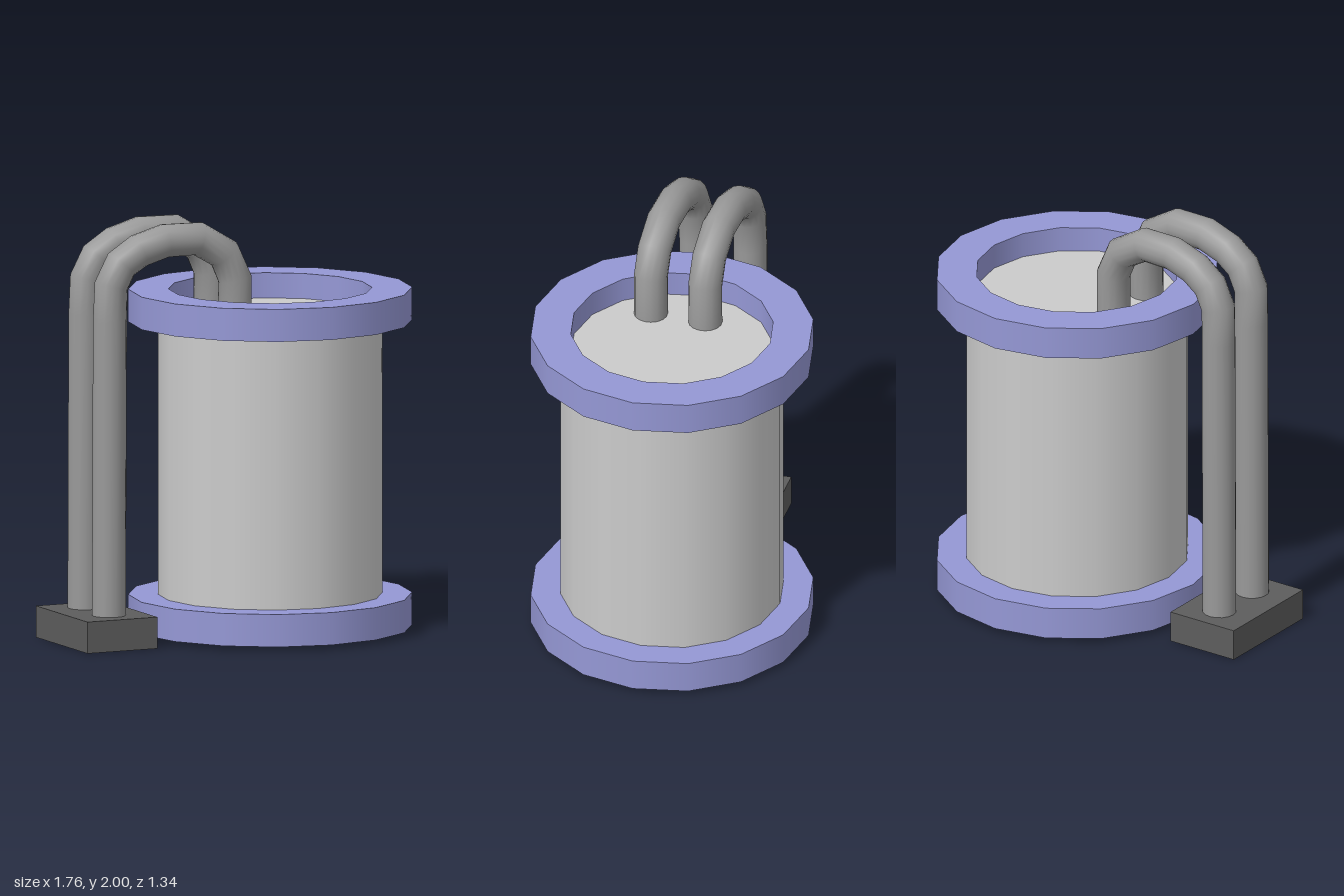
import * as THREE from 'three';

const SIDES = 16;
const TANK_X = 0.21;

function add(parent, name, geometry, color, x = 0, y = 0, z = 0) {
  const mesh = new THREE.Mesh(geometry, new THREE.MeshStandardMaterial({ color }));
  mesh.name = name;
  mesh.position.set(x, y, z);
  parent.add(mesh);
  return mesh;
}

// Lathe whose profile corners stay sharp while the round sides stay smooth
function sharpLathe(corners) {
  const points = corners.flatMap(([r, y]) => [new THREE.Vector2(r, y), new THREE.Vector2(r, y)]);
  return new THREE.LatheGeometry(points, SIDES);
}

// Bent pipe with one ring of vertices per path point
function pipeGeometry(zBase, zTank) {
  const path = [
    [-0.70, 0.1, 0], [-0.695, 1.55, 0], [-0.69, 1.72, 0.1], [-0.64, 1.82, 0.2],
    [-0.55, 1.88, 0.4], [-0.42, 1.92, 0.6], [-0.25, 1.92, 0.75], [-0.115, 1.84, 0.9],
    [-0.062, 1.72, 1], [-0.062, 1.48, 1],
  ];
  const curve = new THREE.CatmullRomCurve3(path.map(([x, y, t]) =>
    new THREE.Vector3(x, y, THREE.MathUtils.lerp(zBase, zTank, t))));
  curve.getUtoTmapping = (u) => u;
  return new THREE.TubeGeometry(curve, path.length - 1, 0.08, 16);
}

export function createModel() {
  const model = new THREE.Group();
  model.name = 'tankWithPipes';
  const blue = 0x9598d5;

  // Tank body, its flat lid recessed inside the upper collar
  const tank = new THREE.Group();
  tank.name = 'tank';
  tank.position.x = TANK_X;
  model.add(tank);
  add(tank, 'tankBody', new THREE.CylinderGeometry(0.53, 0.53, 1.41, SIDES), 0xcccccc, 0, 0.805);

  // Lower flange is a solid disc, upper collar is an open ring
  add(tank, 'lowerFlange', new THREE.CylinderGeometry(0.67, 0.67, 0.155, SIDES), blue, 0, 0.0975);
  add(tank, 'upperCollar', sharpLathe([
    [0.67, 1.475], [0.67, 1.63], [0.48, 1.63], [0.48, 1.475], [0.67, 1.475],
  ]), blue);

  // Block the pipes rise from
  add(model, 'pipeBase', new THREE.BoxGeometry(0.365, 0.15, 0.565), 0x5d5d5d, -0.7025, 0.075, 0.0125);

  // Two pipes running from the block over into the tank lid
  add(model, 'backPipe', pipeGeometry(-0.125, -0.085), 0x999999);
  add(model, 'frontPipe', pipeGeometry(0.142, 0.182), 0x999999);

  return model;
}
